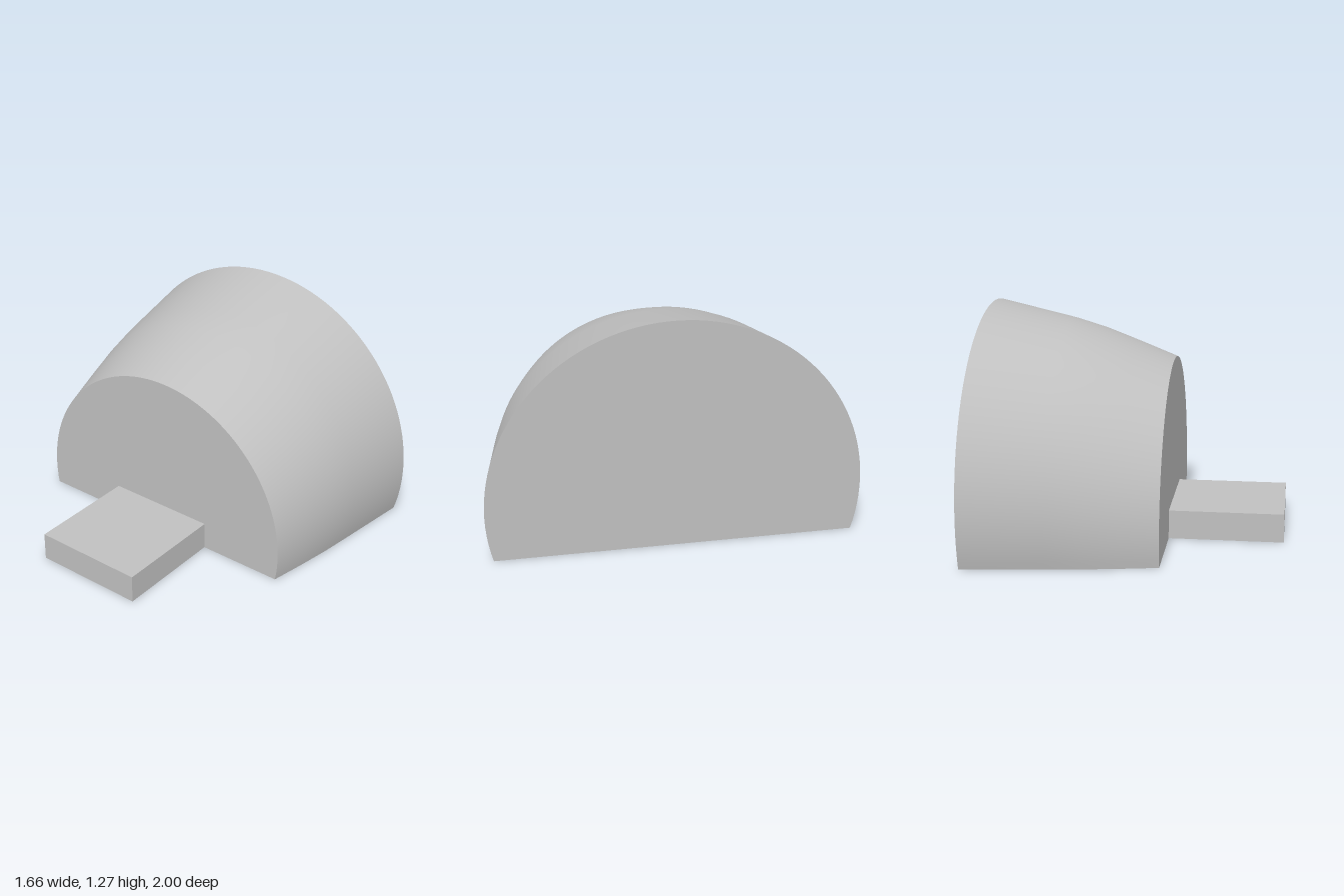
import * as THREE from 'three';

// Cross-sections of the body: x, radius, height of the arc centre
const SECTIONS = [
  [-0.195, 0.82, 0.137],
  [0.01, 0.866, 0.172],
  [0.21, 0.907, 0.207],
  [0.39, 0.936, 0.232],
  [0.83, 1.0, 0.27],
];
const SEGMENTS = 72;

// Arc from the front ground edge over the top to the back ground edge, as (z, y)
function arc([, r, c]) {
  const dip = Math.asin(c / r);
  return Array.from({ length: SEGMENTS + 1 }, (_, j) => {
    const a = -dip + (j / SEGMENTS) * (Math.PI + 2 * dip);
    return new THREE.Vector2(r * Math.cos(a), c + r * Math.sin(a));
  });
}

// Smooth skin lofted through the cross-sections
function shellGeometry() {
  const positions = [];
  const index = [];
  const row = SEGMENTS + 1;
  SECTIONS.forEach((section, i) => {
    for (const p of arc(section)) positions.push(section[0], p.y, p.x);
    if (i === SECTIONS.length - 1) return;
    for (let j = 0; j < SEGMENTS; j++) {
      const a = i * row + j;
      const b = a + row;
      index.push(a, b, b + 1, a, b + 1, a + 1);
    }
  });
  const geometry = new THREE.BufferGeometry();
  geometry.setAttribute('position', new THREE.Float32BufferAttribute(positions, 3));
  geometry.setIndex(index);
  geometry.computeVertexNormals();
  return geometry;
}

// Flat end wall; side is -1 for the small end, 1 for the large end
function endGeometry(section, side) {
  return new THREE.ShapeGeometry(new THREE.Shape(arc(section)))
    .rotateY((side * Math.PI) / 2)
    .translate(section[0], 0, 0);
}

// Flat underside following the ground edges of the skin
function baseGeometry() {
  const edge = SECTIONS.map(([x, r, c]) => new THREE.Vector2(x, Math.sqrt(r * r - c * c)));
  const mirrored = edge.map((p) => new THREE.Vector2(p.x, -p.y)).reverse();
  return new THREE.ShapeGeometry(new THREE.Shape([...edge, ...mirrored])).rotateX(Math.PI / 2);
}

export function createModel() {
  const group = new THREE.Group();
  group.name = 'taperedDomeWithTongue';
  const grey = new THREE.MeshStandardMaterial({ color: 0xc0c0c0 });
  grey.name = 'light grey';

  const add = (name, geometry) => {
    const mesh = new THREE.Mesh(geometry, grey);
    mesh.name = name;
    group.add(mesh);
    return mesh;
  };

  // Domed body
  add('bodyShell', shellGeometry());
  add('smallEnd', endGeometry(SECTIONS[0], -1));
  add('largeEnd', endGeometry(SECTIONS[SECTIONS.length - 1], 1));
  add('bodyBase', baseGeometry());

  // Flat tongue at the small end
  add('tongue', new THREE.BoxGeometry(0.635, 0.16, 0.64)).position.set(-0.5125, 0.08, 0);

  return group;
}
